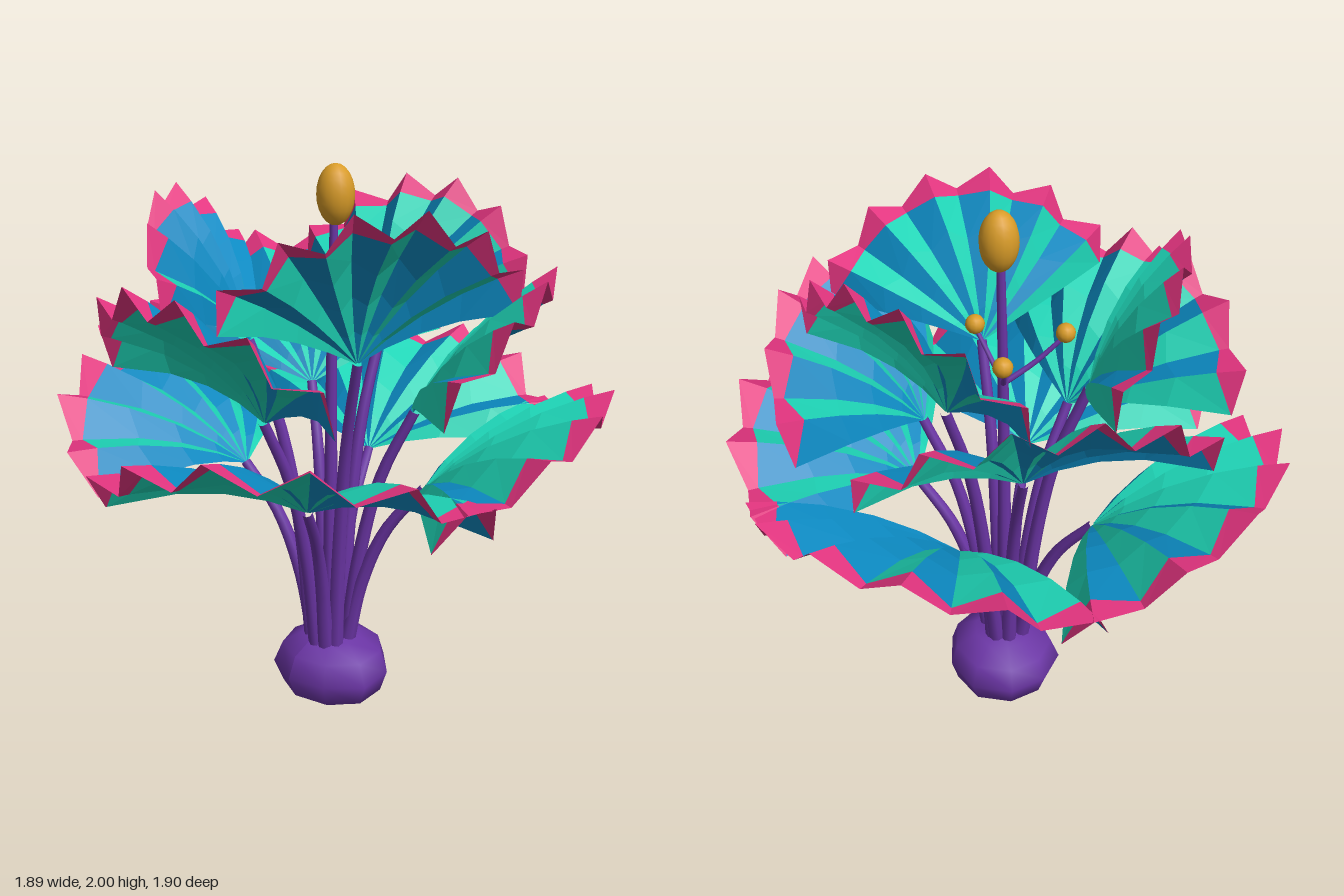
import * as THREE from 'three';

const mat = (name, color, side = THREE.FrontSide) => {
  const m = new THREE.MeshStandardMaterial({ color, side });
  m.name = name;
  return m;
};

const rad = THREE.MathUtils.degToRad;
const FOLDS = 12; // facets per pleated fan
const STATIONS = [0.01, 0.2, 0.42, 0.66, 0.86, 1]; // along each rib, last band is the rim
const RIM = STATIONS.length - 2;

// Where the rim starts on rib j: wide on ridges, narrow in valleys, nothing at the two ends
function rimStart(j) {
  if (j === 0 || j === FOLDS) return 0.995;
  return j % 2 ? STATIONS[RIM] : 0.95;
}

// Point on a fan: rib j, station k; x points outward, y up
function fanPoint(j, k, { length, spread, tilt, droop }) {
  const u = (j / FOLDS) * 2 - 1;
  const ridge = j % 2 ? 1 : -1;
  const s = k === RIM ? rimStart(j) : STATIONS[k];
  const r = s * length * (1 + 0.055 * ridge);
  const out = r * Math.cos(u * spread);
  const lift = 0.05 * length * ridge * s      // pleat
    + 0.3 * length * s * (1 - s)              // arched rib
    - droop * u * u * s * s;                  // sagging sides
  return [
    out * Math.cos(tilt) - lift * Math.sin(tilt),
    out * Math.sin(tilt) + lift * Math.cos(tilt),
    r * Math.sin(u * spread),
  ];
}

// Flat-shaded fan faces for the chosen facets and bands
function fanGeometry(tier, keep) {
  const pos = [];
  for (let i = 0; i < FOLDS; i++) {
    for (let k = 0; k <= RIM; k++) {
      if (!keep(i, k)) continue;
      const a = fanPoint(i, k, tier);
      const b = fanPoint(i + 1, k, tier);
      const c = fanPoint(i + 1, k + 1, tier);
      const d = fanPoint(i, k + 1, tier);
      pos.push(...a, ...b, ...c, ...a, ...c, ...d);
    }
  }
  const g = new THREE.BufferGeometry();
  g.setAttribute('position', new THREE.Float32BufferAttribute(pos, 3));
  g.computeVertexNormals();
  return g;
}

// Tube along a curve, narrowing from r0 to r1
function taperedTube(points, r0, r1, segments = 14, sides = 8) {
  const curve = new THREE.CatmullRomCurve3(points.map((p) => new THREE.Vector3(...p)));
  const g = new THREE.TubeGeometry(curve, segments, 1, sides);
  const p = g.attributes.position;
  const v = new THREE.Vector3();
  for (let i = 0; i < p.count; i++) {
    const t = Math.floor(i / (sides + 1)) / segments;
    const c = curve.getPointAt(t);
    v.fromBufferAttribute(p, i).sub(c).multiplyScalar(r0 + (r1 - r0) * t).add(c);
    p.setXYZ(i, v.x, v.y, v.z);
  }
  return g;
}

export function createModel() {
  const model = new THREE.Group();
  model.name = 'fanPlant';

  const purple = mat('purple stem', 0x6b35a5);
  const teal = mat('teal leaf', 0x1ed4b6, THREE.DoubleSide);
  const blue = mat('blue leaf', 0x0c8ac2, THREE.DoubleSide);
  const pink = mat('pink rim', 0xe2347f, THREE.DoubleSide);
  const gold = mat('gold bud', 0xd99c28);

  const add = (parent, name, geometry, material, pos = [0, 0, 0]) => {
    const m = new THREE.Mesh(geometry, material);
    m.name = name;
    m.position.set(...pos);
    parent.add(m);
    return m;
  };

  // Squat, slightly lumpy bulb
  const bulb = new THREE.SphereGeometry(1, 9, 6);
  const bp = bulb.attributes.position;
  for (let i = 0; i < bp.count; i++) {
    const x = bp.getX(i), y = bp.getY(i), z = bp.getZ(i);
    const k = 1 + 0.05 * Math.sin(3 * x + 2 * z) * (1 - y * y);
    bp.setXYZ(i, x * k * 0.21, Math.sign(y) * Math.abs(y) ** 0.85 * 0.145, z * k * 0.225);
  }
  bulb.computeVertexNormals();
  add(model, 'bulb', bulb, purple, [0.02, 0.148, -0.01]);

  // Three tiers of pleated fan leaves on curved stems, each leaf at its own heading in degrees
  const tiers = [
    { name: 'lower', headings: [59, 142, 247, 335], hub: 0.345, y: 0.9, length: 0.695, spread: rad(73), tilt: rad(29), droop: 0.02 },
    { name: 'middle', headings: [56, 176, 297], hub: 0.3, y: 1.17, length: 0.65, spread: rad(67), tilt: rad(46), droop: 0.035 },
    { name: 'upper', headings: [111, 230, 351], hub: 0.28, y: 1.39, length: 0.575, spread: rad(66), tilt: rad(59), droop: 0.015 },
  ];
  for (const tier of tiers) {
    const blueFaces = fanGeometry(tier, (i, k) => k < RIM && i % 2 === 0);
    const tealFaces = fanGeometry(tier, (i, k) => k < RIM && i % 2 === 1);
    const rimFaces = fanGeometry(tier, (i, k) => k === RIM);
    const stem = taperedTube([
      [0.065, 0.24, 0],
      [0.065 + (tier.hub - 0.065) * 0.2, 0.24 + (tier.y - 0.24) * 0.4, 0],
      [0.065 + (tier.hub - 0.065) * 0.53, 0.24 + (tier.y - 0.24) * 0.74, 0],
      [tier.hub + 0.005, tier.y + 0.005, 0],
    ], 0.03, 0.018);
    tier.headings.forEach((heading, n) => {
      const branch = new THREE.Group();
      branch.name = `${tier.name}Leaf${n + 1}`;
      branch.rotation.y = -rad(heading);
      add(branch, 'leafStem', stem, purple);
      const hub = [tier.hub, tier.y, 0];
      add(branch, 'bluePleats', blueFaces, blue, hub);
      add(branch, 'tealPleats', tealFaces, teal, hub);
      add(branch, 'leafRim', rimFaces, pink, hub);
      model.add(branch);
    });
  }

  // Central stalk with its large bud
  add(model, 'centralStalk', taperedTube([
    [0, 0.24, 0], [0.005, 0.9, 0], [0.01, 1.4, 0], [0.02, 1.85, 0],
  ], 0.03, 0.014), purple);
  const bud = add(model, 'mainBud', new THREE.SphereGeometry(1, 16, 12), gold, [0.022, 1.898, 0.005]);
  bud.scale.set(0.065, 0.102, 0.065);

  // Small buds on thin side shoots
  for (const [x, z] of [[-0.18, -0.095], [0.125, -0.145], [0.02, 0.14]]) {
    add(model, 'sideShoot', taperedTube([
      [0.01, 1.38, 0], [x * 0.5, 1.45, z * 0.5], [x, 1.54, z],
    ], 0.011, 0.008, 8, 6), purple);
    add(model, 'smallBud', new THREE.SphereGeometry(0.034, 12, 8), gold, [x, 1.55, z]);
  }
  return model;
}
